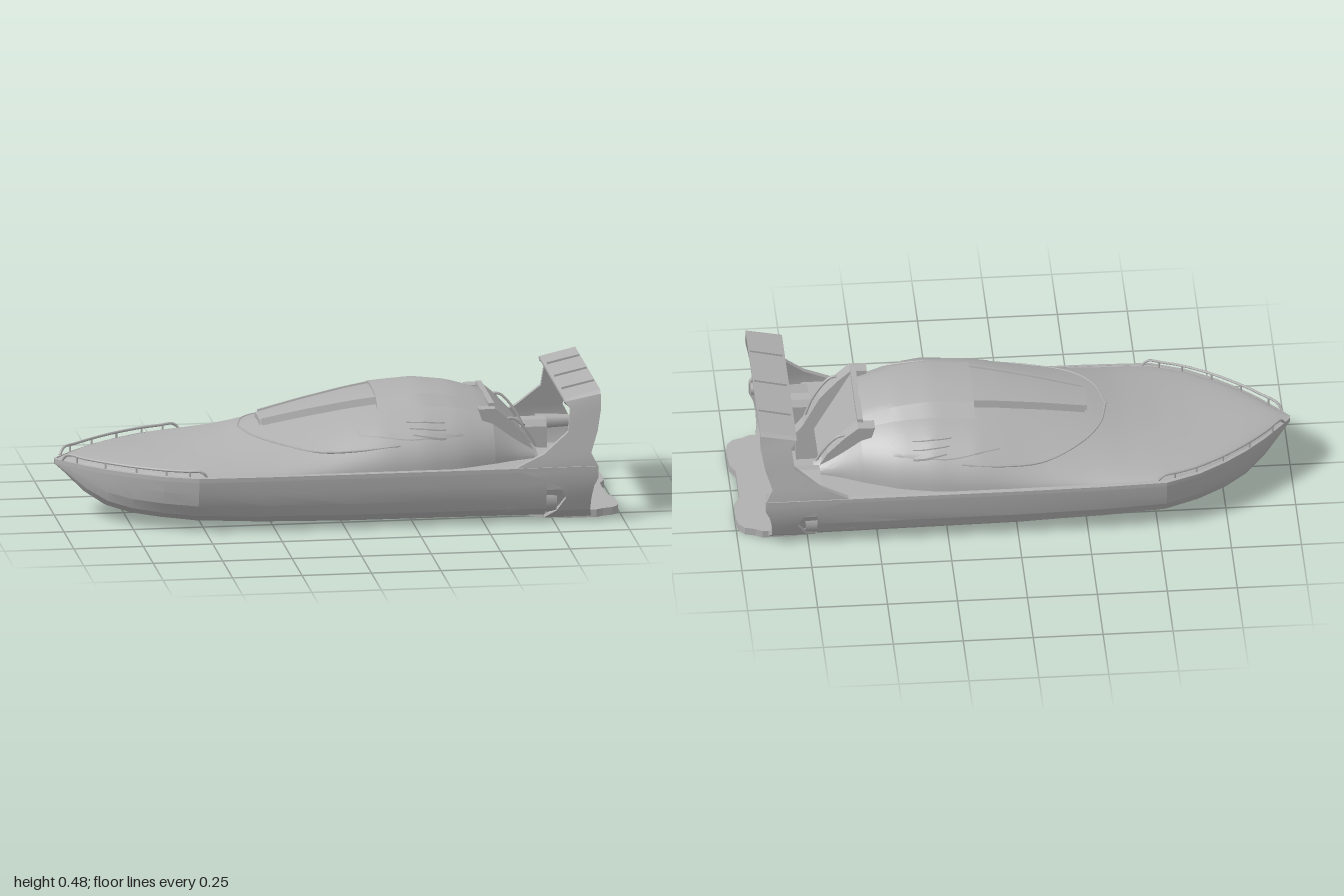
import * as THREE from 'three';
import { toCreasedNormals } from 'three/addons/utils/BufferGeometryUtils.js';

const grey = new THREE.MeshStandardMaterial({ color: 0xb0b0b0, side: THREE.DoubleSide });
grey.name = 'plain grey';

// Linear lookup in rows of [x, a, b, ...]
function lookup(rows, x, col) {
  let i = 1;
  while (i < rows.length - 1 && x > rows[i][0]) i++;
  const [p, q] = [rows[i - 1], rows[i]];
  const t = THREE.MathUtils.clamp((x - p[0]) / (q[0] - p[0]), 0, 1);
  return p[col] + (q[col] - p[col]) * t;
}

// Skin over rings of equally many points
function loft(rings, crease = 0.5, caps = false) {
  const n = rings[0].length, idx = [];
  for (let i = 0; i < rings.length - 1; i++) for (let j = 0; j < n - 1; j++) {
    const a = i * n + j, b = a + 1, d = a + n, c = d + 1;
    idx.push(a, b, c, a, c, d);
  }
  if (caps) {
    const e = (rings.length - 1) * n;
    for (let j = 1; j < n - 1; j++) idx.push(0, j + 1, j, e, e + j, e + j + 1);
  }
  const g = new THREE.BufferGeometry();
  g.setAttribute('position', new THREE.Float32BufferAttribute(rings.flat(2), 3));
  g.setIndex(idx);
  return toCreasedNormals(g, crease);
}

const range = (a, b, n) => Array.from({ length: n + 1 }, (_, i) => a + (b - a) * i / n);

// x, half width, keel height, bottom width ratio
const HULL = [[-1, 0.004, 0.19, 0.5], [-0.96, 0.055, 0.155, 0.35], [-0.9, 0.125, 0.095, 0.3],
  [-0.83, 0.195, 0.05, 0.3], [-0.75, 0.26, 0.03, 0.32], [-0.65, 0.325, 0.022, 0.36],
  [-0.53, 0.372, 0.015, 0.42], [-0.3, 0.38, 0.008, 0.52], [0, 0.383, 0.004, 0.58],
  [0.4, 0.383, 0.003, 0.6], [0.72, 0.383, 0.003, 0.62]];
// x, half width, crown height and fullness exponent of the cabin dome
const DOME = [[-1, 0.003, 0.202, 0.5], [-0.96, 0.05, 0.215, 0.5], [-0.9, 0.118, 0.225, 0.5],
  [-0.83, 0.187, 0.232, 0.5], [-0.75, 0.25, 0.238, 0.52], [-0.65, 0.315, 0.245, 0.58],
  [-0.53, 0.36, 0.26, 0.68], [-0.4, 0.367, 0.286, 0.78], [-0.27, 0.367, 0.323, 0.82],
  [-0.1, 0.367, 0.364, 0.74], [0.05, 0.366, 0.395, 0.6], [0.14, 0.365, 0.41, 0.53],
  [0.3, 0.353, 0.425, 0.5], [0.42, 0.328, 0.418, 0.5], [0.55, 0.275, 0.39, 0.5],
  [0.62, 0.24, 0.335, 0.5], [0.72, 0.205, 0.25, 0.5]];
const DECK = 0.202;
const hullW = x => lookup(HULL, x, 1);

function domeY(x, z) {
  const r = Math.min(1, Math.abs(z) / lookup(DOME, x, 1));
  return DECK + (lookup(DOME, x, 2) - DECK) * (1 - r * r) ** lookup(DOME, x, 3);
}

// Raised panel that follows the dome between two edges, with sloping margins
function panel(x0, x1, lo, hi, off, margin = 0.008, n = 14) {
  return loft(range(x0, x1, n).map(x => {
    const t = (x - x0) / (x1 - x0), a = lo(t), b = hi(t);
    const pts = range(a, b, 8).map(z => [x, domeY(x, z) + off(t), z]);
    return [[x, domeY(x, a - margin) - 0.004, a - margin], ...pts, [x, domeY(x, b + margin) - 0.004, b + margin]];
  }), 0.4, true);
}

const polygon = pts => new THREE.Shape(pts.map(p => new THREE.Vector2(...p)));
const extrude = (shape, depth) => new THREE.ExtrudeGeometry(shape, { depth, bevelEnabled: false, curveSegments: 6 });
const tube = (pts, r, n = 24) =>
  new THREE.TubeGeometry(new THREE.CatmullRomCurve3(pts.map(p => new THREE.Vector3(...p))), n, r, 6);

export function createModel() {
  const model = new THREE.Group();
  model.name = 'speedboat';
  const add = (name, geo) => {
    const m = new THREE.Mesh(geo, grey);
    m.name = name;
    model.add(m);
    return m;
  };
  const pair = (name, geo) => {
    add(name + 'Left', geo);
    add(name + 'Right', geo).scale.z = -1;
  };

  // Hull with rounded bilges and a flat bottom; side rows are [bilge position, height]
  const side = [[0, 1], [0.025, 0.72], [0.09, 0.47], [0.23, 0.24], [0.48, 0.085], [1, 0]];
  add('hull', loft(HULL.map(([x, w, k, b]) => {
    const half = side.map(([f, h]) => [x, k + (0.2 - k) * h, w * (1 - f * (1 - b))]);
    return [...half, ...half.map(([px, y, z]) => [px, y, -z]).reverse()];
  }), 0.25));

  // Rub rail along the sheer line
  pair('rubRail', loft([...HULL.map(r => r[0]), 0.9].map(x => {
    const w = hullW(x);
    return [[x, 0.211, w - 0.012], [x, 0.208, w + 0.003], [x, 0.193, w + 0.003], [x, 0.19, w - 0.012]];
  }), 0.3));

  // Foredeck and cabin dome, with side decks
  const domeXs = [...range(-1, 0.54, 44), 0.55];
  add('cabinDome', loft(domeXs.map(x => {
    const w = lookup(DOME, x, 1), W = hullW(x);
    const arc = range(-Math.PI / 2, Math.PI / 2, 28).map(a => {
      const z = w * Math.sin(a);
      return [x, domeY(x, z), z];
    });
    return [[x, DECK, -W], ...arc, [x, DECK, W]];
  }), 0.6));
  pair('domeQuarter', loft(range(0.55, 0.72, 8).map(x => {
    const w = lookup(DOME, x, 1), a0 = Math.asin(0.17 / w);
    const arc = range(a0, Math.PI / 2, 10).map(a => [x, domeY(x, w * Math.sin(a)), w * Math.sin(a)]);
    return [...arc, [x, DECK, hullW(x)]];
  }), 0.6));

  // Roof cap, sunroof and cabin seam
  add('roofCap', panel(0.14, 0.56, t => -0.125, t => 0.125, t => 0.026 - 0.018 * t * t, 0.055));
  add('sunroof', panel(-0.27, 0.15, t => -0.055 - 0.045 * t, t => 0.055 + 0.045 * t, () => 0.018));
  pair('sunroofRail', panel(-0.26, 0.14, t => 0.055 + 0.045 * t, t => 0.068 + 0.047 * t, () => 0.024));
  pair('cabinSeam', tube([[0.2, 0.325], [0.05, 0.325], [-0.1, 0.3], [-0.24, 0.215], [-0.31, 0.12], [-0.34, 0]]
    .map(([x, z]) => [x, domeY(x, z), z]), 0.004, 30));

  // Side shoulder panels with three vents each
  pair('shoulderPanel', panel(0.06, 0.44, t => 0.255 - 0.05 * Math.sin(t * Math.PI * 0.8),
    t => 0.275 + 0.035 * Math.sin(t * Math.PI), () => 0.002, 0.004));
  for (const [i, z] of [0.25, 0.276, 0.299].entries())
    pair('sideVent' + i, panel(0.23 + i * 0.01, 0.37, t => z - 0.007 * Math.sin(t * 3),
      t => z + 0.007 * Math.sin(t * 3), () => 0.006, 0.002, 8));

  // Sloping rear window, and a bulkhead undercut below it
  add('rearWindow', loft([[0.55, 0.392, 0.17], [0.69, 0.155, 0.16], [0.66, 0.05, 0.155], [0.69, 0.028, 0.155]]
    .map(([x, y, z]) => [[x, y, -z], [x, y, z]]), 0.1));
  add('windowHeader', new THREE.BoxGeometry(0.02, 0.02, 0.33).translate(0.55, 0.388, 0));

  // Leaning pillars beside the window, with handrails
  const pillar = extrude(polygon([[0.5, 0.385], [0.56, 0.386], [0.61, 0.343], [0.67, 0.278], [0.73, 0.17],
    [0.755, 0.14], [0.755, 0.03], [0.6, 0.03]]), 0.05).translate(0, 0, 0.14);
  const pp = pillar.attributes.position;
  for (let i = 0; i < pp.count; i++) pp.setZ(i, pp.getZ(i) + (pp.getY(i) - 0.15) * 0.06);
  pillar.computeVertexNormals();
  pair('pillar', pillar);
  pair('handrail', tube([[0.6, 0.345, 0.185], [0.63, 0.342, 0.184], [0.69, 0.27, 0.175], [0.72, 0.2, 0.167]], 0.005));

  // Stern pods with a tilted exhaust duct reaching aft
  const podShape = polygon([[-0.19, 0.025], [-0.29, 0.025], [-0.335, 0.06], [-0.358, 0.12], [-0.364, 0.18],
    [-0.34, 0.212], [-0.24, 0.243], [-0.205, 0.238], [-0.19, 0.215]]);
  const mouth = [[-0.318, 0.108], [-0.308, 0.12], [-0.24, 0.134], [-0.226, 0.124], [-0.226, 0.083],
    [-0.236, 0.07], [-0.304, 0.046], [-0.32, 0.056]];
  podShape.holes.push(polygon(mouth));
  pair('sternPod', extrude(podShape, 0.1).rotateY(Math.PI / 2).translate(0.7, 0, 0));
  const scaled = k => mouth.map(([x, y]) => [-0.272 + (x + 0.272) * k, 0.09 + (y - 0.09) * k]);
  const duct = polygon(scaled(1.12));
  duct.holes.push(polygon(scaled(0.9)));
  pair('exhaustDuct', extrude(duct, 0.08).rotateY(Math.PI / 2).translate(0.785, 0, 0));
  pair('podBack', new THREE.BoxGeometry(0.01, 0.16, 0.14).translate(0.72, 0.12, 0.265));
  pair('sternNozzle', new THREE.CylinderGeometry(0.022, 0.028, 0.12, 8).rotateZ(-Math.PI / 2).translate(0.84, 0.195, 0.35));

  // Side nacelles low on the quarter
  const nacelle = new THREE.CylinderGeometry(0.05, 0.056, 0.17, 14, 1, true).rotateZ(-Math.PI / 2);
  pair('nacelle', nacelle.translate(0.675, 0.08, 0.303));
  pair('nacelleNose', new THREE.SphereGeometry(0.056, 14, 8).translate(0.59, 0.08, 0.303));

  // Swim platform with rounded, notched rear edge
  const deck = [[0.66, 0.24], [0.72, 0.28], [0.8, 0.3], [0.91, 0.3], [0.935, 0.285], [0.97, 0.275],
    [0.992, 0.25], [1, 0.21], [0.995, 0.12], [0.975, 0.08]];
  add('swimPlatform', extrude(polygon([...deck, ...deck.map(([x, z]) => [x, -z]).reverse()]), 0.028)
    .rotateX(Math.PI / 2).translate(0, 0.028, 0));

  // Stern hoop: y, z, front x, rear x, inset z, inset y, forward tilt
  const hoop = [[0.004, 0.298, 0.72, 0.89, 0.004, -0.015, 0], [0.04, 0.343, 0.76, 0.88, 0.02, -0.008, 0],
    [0.09, 0.366, 0.79, 0.882, 0.02, 0, 0], [0.135, 0.378, 0.77, 0.89, 0.02, 0, 0],
    [0.165, 0.382, 0.7, 0.905, 0.02, 0, 0], [0.205, 0.384, 0.6, 0.905, 0.02, 0, 0],
    [0.255, 0.374, 0.71, 0.88, 0.02, 0, 0], [0.33, 0.358, 0.8, 0.905, 0.02, 0, 0],
    [0.41, 0.342, 0.81, 0.92, 0.02, 0, 0], [0.46, 0.331, 0.79, 0.92, 0.02, 0.015, 0.025],
    [0.472, 0.316, 0.79, 0.92, 0.006, 0.016, 0.03]];
  const section = s => ([y, z, x0, x1, dz, dy, tilt]) => [[x0, y - tilt, s * z], [x1, y, s * z],
    [x1, y - dy, s * (z - dz)], [x0, y - dy * 0.6 - tilt, s * (z - dz)], [x0, y - tilt, s * z]];
  add('sternArch', loft([...hoop.map(section(1)), ...hoop.slice().reverse().map(section(-1))], 0.3));
  for (const z of [-0.185, 0, 0.185])
    add('archFin', new THREE.BoxGeometry(0.12, 0.008, 0.005).rotateZ(0.22).translate(0.858, 0.461, z));

  // Bow rails on short posts
  const railXs = range(-0.96, -0.52, 8);
  const railAt = x => hullW(x) * 0.965;
  pair('bowRail', tube([[-0.975, 0.21, railAt(-0.975)],
    ...railXs.map(x => [x, 0.232 - 0.006 * (x + 0.96), railAt(x)]), [-0.5, 0.21, railAt(-0.5)]], 0.005, 40));
  for (const x of [-0.93, -0.84, -0.74, -0.64, -0.56])
    pair('railPost', new THREE.CylinderGeometry(0.004, 0.004, 0.03, 6).translate(x, 0.216, railAt(x)));

  return model;
}
